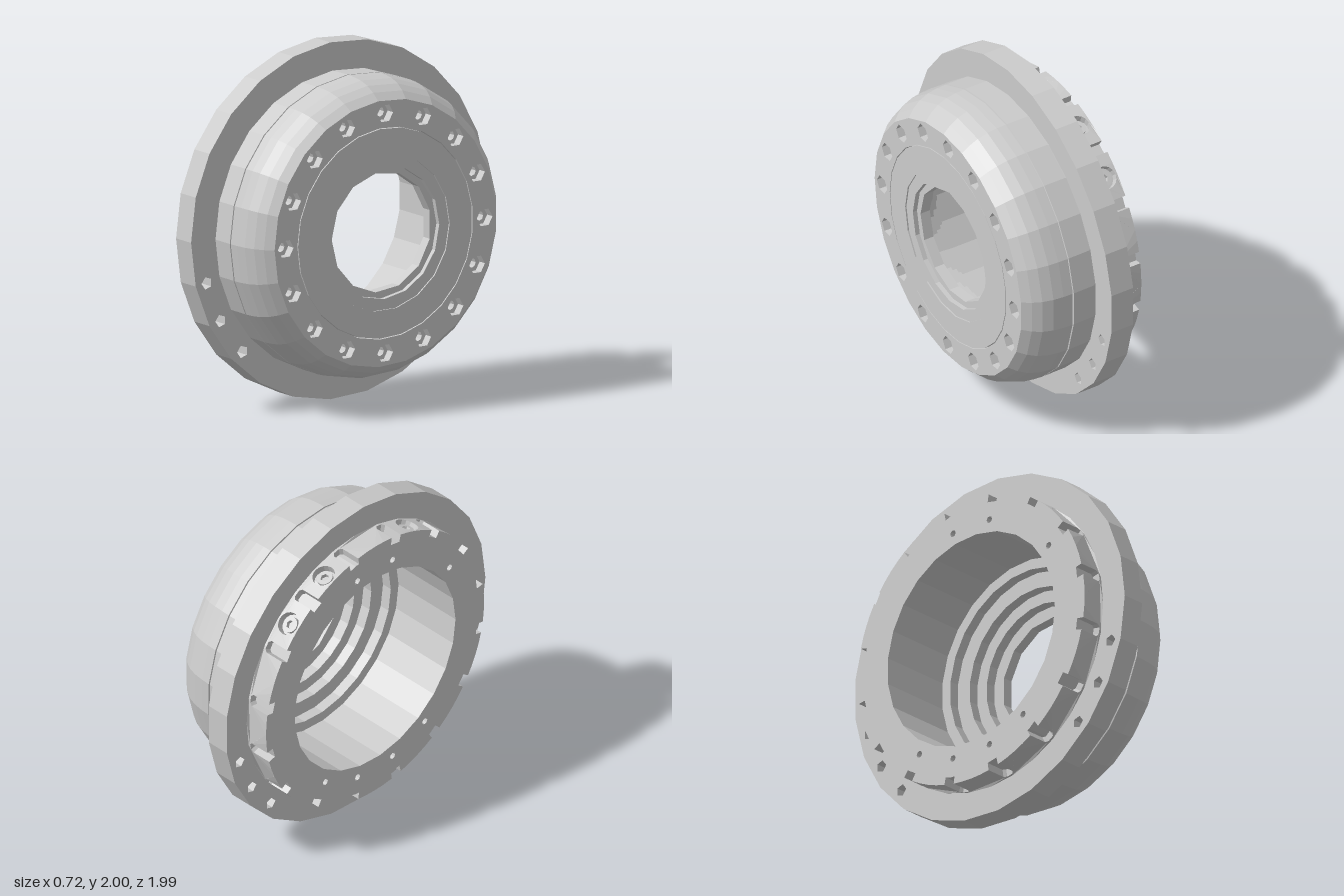
import * as THREE from 'three';

const mat = new THREE.MeshStandardMaterial({ color: 0xcccccc, flatShading: true, side: THREE.DoubleSide });
const rad = THREE.MathUtils.degToRad;

// Points of a regular polygon; angles run from +z towards +y once laid on the x axis
function polygon(r, n, cu = 0, cv = 0) {
  return Array.from({ length: n }, (_, i) => {
    const a = (i / n) * Math.PI * 2;
    return new THREE.Vector2(cu - r * Math.cos(a), cv + r * Math.sin(a));
  });
}

// Polygonal hole at a polar position
function holeAt(r, deg, size, sides) {
  return polygon(size, sides, -r * Math.cos(rad(deg)), r * Math.sin(rad(deg)));
}

function extrude(outline, holes, depth) {
  const shape = new THREE.Shape(outline);
  holes.forEach(h => shape.holes.push(new THREE.Path(h)));
  return new THREE.ExtrudeGeometry(shape, { depth, bevelEnabled: false });
}

// Flat ring around the x axis from x0 to x1
function ring(name, ro, no, ri, ni, x0, x1, holes = []) {
  const g = extrude(polygon(ro, no), [polygon(ri, ni), ...holes], x1 - x0);
  g.rotateY(Math.PI / 2).translate(x0, 0, 0);
  return named(new THREE.Mesh(g, mat), name);
}

// Profile of [radius, x] pairs turned around the x axis
function turned(name, profile, sides = 25) {
  const g = new THREE.LatheGeometry(profile.map(p => new THREE.Vector2(...p)), sides);
  g.rotateZ(-Math.PI / 2);
  return named(new THREE.Mesh(g, mat), name);
}

function named(object, name) {
  object.name = name;
  return object;
}

// Curved rim panel between two notches, with an optional round radial recess
function rimPanel(deg, recessed) {
  const R = 0.84, base = 0.79, H = R * Math.PI / 16, n = H - 0.035;
  const half = [[H, -0.21], [H, -0.225], [n + 0.015, -0.225], [n, -0.24], [n, -0.36], [n / 2, -0.36]];
  const outline = [[0, -0.21], ...half, [0, -0.36], ...half.map(([u, v]) => [-u, v]).reverse()];
  const holes = recessed ? [polygon(0.065, 16, 0, -0.285)] : [];
  const g = extrude(outline.map(p => new THREE.Vector2(...p)), holes, R - base);
  const p = g.attributes.position;
  for (let i = 0; i < p.count; i++) {
    const a = rad(deg) - p.getX(i) / R, r = base + p.getZ(i);
    p.setXYZ(i, p.getY(i), r * Math.sin(a), r * Math.cos(a));
  }
  g.computeVertexNormals();
  return named(new THREE.Mesh(g, mat), 'rimPanel');
}

export function createModel() {
  const model = named(new THREE.Group(), 'flangedHub');
  const hub = named(new THREE.Group(), 'hub');
  hub.position.y = 1;
  model.add(hub);

  // Mounting flange with three holes low on each side
  const flangeHoles = [-15, -30, -45, -135, -150, -165].map(d => holeAt(0.925, d, 0.036, 5));
  hub.add(ring('flange', 1, 25, 0.65, 25, -0.21, -0.07, flangeHoles));

  // Rear ring with small axial holes
  const pinHoles = [78.75, 101.25, 33.75, -56.25, -78.75, -101.25, -123.75].map(d => holeAt(0.69, d, 0.02, 8));
  hub.add(ring('rearRing', 0.8, 25, 0.62, 25, -0.36, -0.21, pinHoles));

  // Notched rim and its recessed radial screws
  const screwAngles = [67.5, 112.5, 135];
  for (let i = 0; i < 16; i++) hub.add(rimPanel(i * 22.5, screwAngles.includes(i * 22.5)));
  for (const deg of screwAngles) {
    const screw = new THREE.Mesh(extrude(polygon(0.045, 16), [polygon(0.024, 6)], 0.03), mat);
    screw.position.set(-0.285, 0.79 * Math.sin(rad(deg)), 0.79 * Math.cos(rad(deg)));
    screw.rotation.x = -rad(deg);
    hub.add(named(screw, 'radialScrew'));
  }

  // Rounded outer shell with fine seams
  hub.add(turned('shell', [
    [0.835, -0.07], [0.835, -0.062], [0.843, -0.06], [0.845, 0.076], [0.837, 0.078], [0.837, 0.083],
    [0.845, 0.085], [0.842, 0.14], [0.834, 0.2], [0.815, 0.26], [0.785, 0.31], [0.745, 0.355],
  ]));

  // Front face: bolt circle plate, middle plate and recessed inner plate
  const bolts = Array.from({ length: 16 }, (_, i) => i * 22.5);
  hub.add(ring('boltPlate', 0.745, 25, 0.592, 25, 0.305, 0.355, bolts.map(d => holeAt(0.67, d, 0.053, 6))));
  hub.add(ring('socketFloor', 0.745, 25, 0.42, 25, 0.25, 0.305, bolts.map(d => holeAt(0.67, d, 0.027, 8))));
  hub.add(ring('middlePlate', 0.587, 25, 0.435, 18, 0.305, 0.355));
  hub.add(ring('innerPlate', 0.44, 18, 0.37, 16, 0.3, 0.347));
  hub.add(ring('boreLip', 0.43, 25, 0.335, 13, 0.26, 0.32));

  // Stepped inner bore
  hub.add(turned('steppedBore', [
    [0.42, 0.27], [0.4, 0.26], [0.4, 0.2], [0.47, 0.2], [0.47, 0.14],
    [0.56, 0.14], [0.56, 0.08], [0.62, 0.08], [0.62, -0.21],
  ]));

  return model;
}
